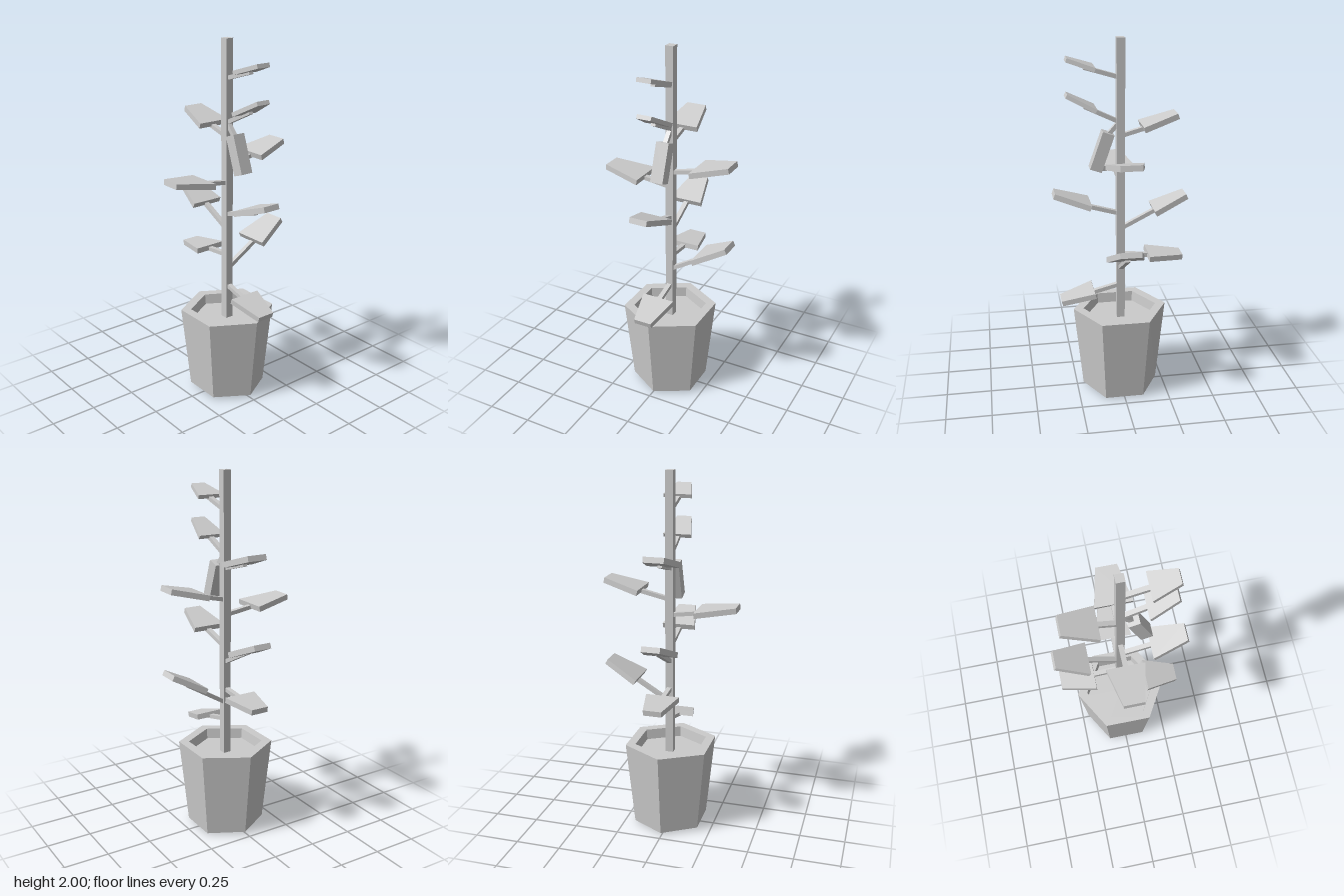
import * as THREE from 'three';

const material = new THREE.MeshStandardMaterial({ color: 0xcccccc, flatShading: true });

function addMesh(parent, name, geometry) {
  const mesh = new THREE.Mesh(geometry, material);
  mesh.name = name;
  parent.add(mesh);
  return mesh;
}

// Bar whose centre line runs from a to b in the local x-y plane; its far end may be narrower.
function addBar(parent, name, [x0, y0], [x1, y1], thickness, width, endWidth = width) {
  const length = Math.hypot(x1 - x0, y1 - y0);
  const geometry = new THREE.BoxGeometry(length, thickness, width);
  const p = geometry.attributes.position;
  for (let i = 0; i < p.count; i++) {
    if (p.getX(i) > 0) p.setZ(i, Math.sign(p.getZ(i)) * endWidth / 2);
  }
  const bar = addMesh(parent, name, geometry);
  bar.position.set((x0 + x1) / 2, (y0 + y1) / 2, 0);
  bar.rotation.z = Math.atan2(y1 - y0, x1 - x0);
  return bar;
}

const RIGHT = 0, BACK = Math.PI / 2, LEFT = Math.PI, FRONT = -Math.PI / 2;

// Heading, branch start height, branch end, leaf inner end, leaf outer end (distance out, height), leaf widths
const leaves = [
  [RIGHT, 1.795, [0.19, 1.852], [0.14, 1.849], [0.282, 1.896], 0.155, 0.08],
  [RIGHT, 1.56, [0.19, 1.65], [0.135, 1.637], [0.285, 1.713], 0.155, 0.08],
  [LEFT, 1.487, [0.19, 1.54], [0.115, 1.533], [0.302, 1.592], 0.185, 0.11],
  [BACK, 1.318, [0.24, 1.372], [0.155, 1.364], [0.355, 1.413], 0.205, 0.115],
  [FRONT, 1.233, [0.25, 1.268], [0.155, 1.263], [0.372, 1.294], 0.205, 0.11],
  [RIGHT, 1.053, [0.24, 1.122], [0.17, 1.118], [0.362, 1.183], 0.185, 0.1],
  [LEFT, 0.965, [0.25, 1.093], [0.18, 1.068], [0.36, 1.145], 0.185, 0.1],
  [BACK, 0.728, [0.25, 0.88], [0.175, 0.857], [0.353, 0.95], 0.205, 0.115],
  [LEFT, 0.812, [0.24, 0.792], [0.15, 0.806], [0.342, 0.79], 0.185, 0.1],
  [RIGHT, 0.632, [0.22, 0.575], [0.15, 0.605], [0.333, 0.552], 0.185, 0.1],
];

export function createModel() {
  const model = new THREE.Group();
  model.name = 'pottedPlant';

  // Hexagonal pot with a thick rim and recessed soil
  const wall = [[0, 0.012], [0.213, 0.012], [0.262, 0.49], [0.206, 0.49], [0.2, 0.432]];
  const potGeometry = new THREE.LatheGeometry(
    wall.map(([r, y]) => new THREE.Vector2(r, y)), 6, Math.PI / 2);
  const p = potGeometry.attributes.position;
  for (let i = 0; i < p.count; i++) {
    if (p.getY(i) < 0.1) p.setY(i, 0.012 + 0.03 * p.getZ(i)); // slightly slanted base
  }
  const pot = addMesh(model, 'pot', potGeometry);
  pot.position.set(0.001, 0, -0.005);

  const soil = addMesh(model, 'soil', new THREE.CircleGeometry(0.202, 6));
  soil.rotation.x = -Math.PI / 2;
  soil.position.set(0.001, 0.432, -0.005);

  // Square stem
  const plant = new THREE.Group();
  plant.name = 'plant';
  plant.position.set(-0.003, 0, -0.008);
  model.add(plant);
  addMesh(plant, 'stem', new THREE.BoxGeometry(0.044, 2, 0.044)).position.y = 1;

  // Branches, each carrying a tapered leaf
  for (const [heading, startY, branchEnd, inner, outer, width, tipWidth] of leaves) {
    const leafBranch = new THREE.Group();
    leafBranch.name = 'leafBranch';
    leafBranch.rotation.y = heading;
    addBar(leafBranch, 'branch', [0, startY], branchEnd, 0.022, 0.026);
    addBar(leafBranch, 'leaf', inner, outer, width < 0.16 ? 0.022 : 0.03, width, tipWidth);
    plant.add(leafBranch);
  }

  // Hanging fruit on a short stalk
  addBar(plant, 'fruitStalk', [0, 1.57], [0.07, 1.49], 0.022, 0.024);
  addBar(plant, 'fruit', [0.066, 1.508], [0.136, 1.308], 0.065, 0.072);

  return model;
}
